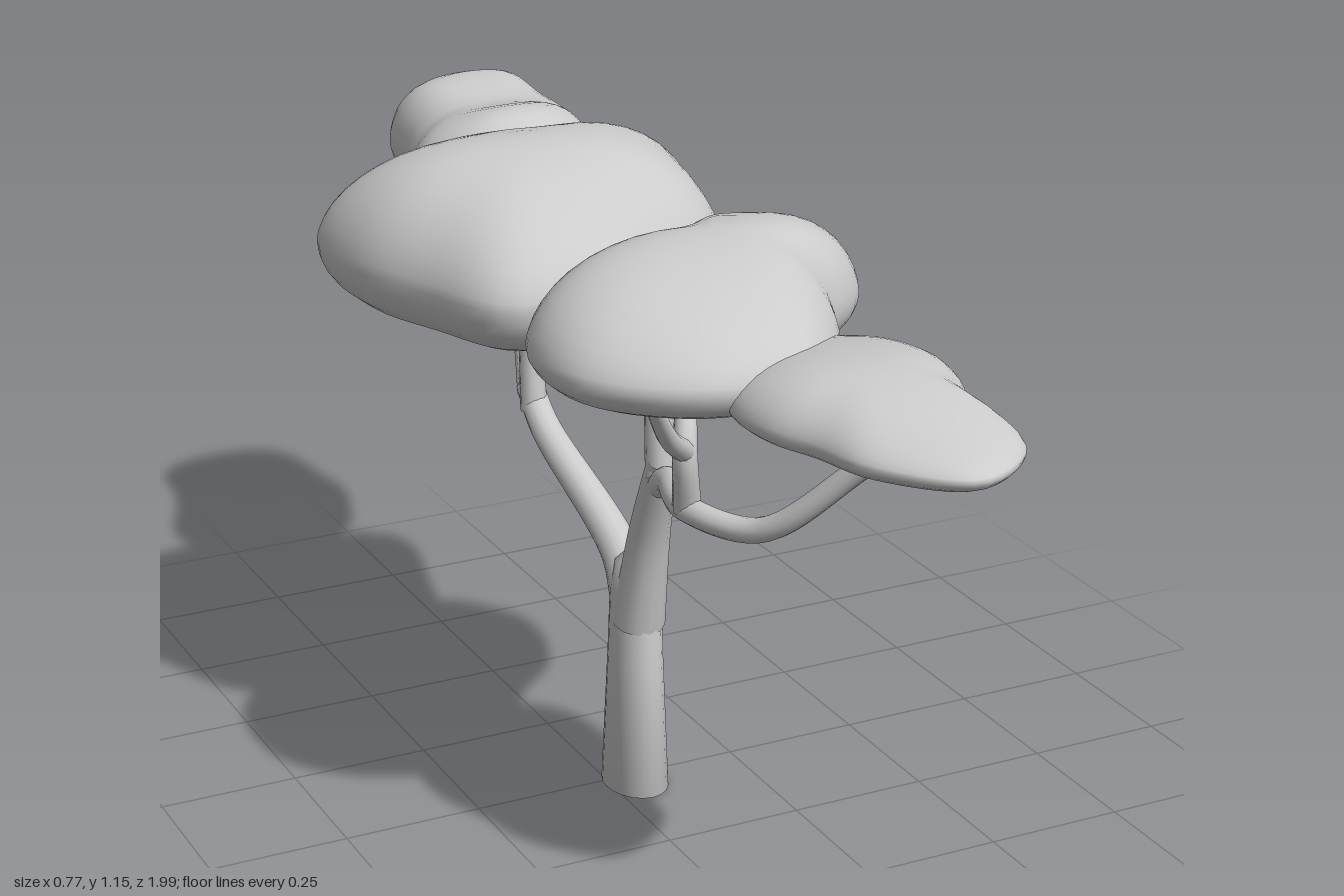
import * as THREE from 'three';
import { mergeVertices } from 'three/addons/utils/BufferGeometryUtils.js';

const { lerp, smoothstep } = THREE.MathUtils;
const material = new THREE.MeshStandardMaterial({ color: 0xcccccc });

// Tube through points [x, y, z] that narrows evenly from radius r0 to r1
function branch(name, r0, r1, ...points) {
  const curve = new THREE.CatmullRomCurve3(points.map(p => new THREE.Vector3(...p)));
  const steps = points.length * 7, sides = 12;
  const geo = new THREE.TubeGeometry(curve, steps, 1, sides, false);
  const pos = geo.attributes.position;
  const v = new THREE.Vector3();
  for (let n = 0; n < pos.count; n++) {
    const t = Math.floor(n / (sides + 1)) / steps;
    const center = curve.getPointAt(t);
    v.fromBufferAttribute(pos, n).sub(center).multiplyScalar(lerp(r0, r1, t)).add(center);
    pos.setXYZ(n, v.x, v.y, v.z);
  }
  const mesh = new THREE.Mesh(geo, material);
  mesh.name = name;
  return mesh;
}

// Cushion of leaves: rim radii at even angles (clockwise from the back), flat belly,
// and a domed crown whose height runs from back to middle to front
function canopy(name, cx, cz, [bottom, mid], [back, middle, front], radii) {
  const curve = new THREE.CatmullRomCurve3(radii.map((r, i) => {
    const a = i / radii.length * Math.PI * 2;
    return new THREE.Vector3(r * Math.sin(a), 0, -r * Math.cos(a));
  }), true, 'centripetal');
  const around = 64, rows = 24;
  const rim = curve.getSpacedPoints(around);
  const reach = Math.max(...rim.map(p => Math.abs(p.z)));
  const positions = [], index = [];
  for (let j = 0; j <= rows; j++) {
    const s = j % rows === 0 ? 0 : Math.sin(j / rows * Math.PI);
    for (let i = 0; i < around; i++) {
      const x = rim[i].x * s, z = rim[i].z * s;
      const top = lerp(middle, z < 0 ? back : front, smoothstep(Math.abs(z), 0, reach));
      const y = j < rows / 2
        ? lerp(mid, bottom, Math.sqrt(1 - s ** 6))
        : lerp(mid, top, (1 - s ** 3) ** 0.6);
      positions.push(cx + x, y, cz + z);
      if (j < rows) {
        const a = j * around + i, b = j * around + (i + 1) % around;
        index.push(a, a + around, b, b, a + around, b + around);
      }
    }
  }
  let geo = new THREE.BufferGeometry();
  geo.setAttribute('position', new THREE.Float32BufferAttribute(positions, 3));
  geo.setIndex(index);
  geo = mergeVertices(geo, 1e-5);
  geo.computeVertexNormals();
  const mesh = new THREE.Mesh(geo, material);
  mesh.name = name;
  return mesh;
}

// Trunk: a lathe, deeper than wide
function createTrunk() {
  const profile = [[0, 0], [0.056, 0], [0.046, 0.25], [0.042, 0.38], [0.034, 0.43], [0, 0.46]];
  const trunk = new THREE.Mesh(
    new THREE.LatheGeometry(profile.map(p => new THREE.Vector2(...p)), 20), material);
  trunk.name = 'trunk';
  trunk.scale.z = 1.32;
  trunk.position.set(0.045, 0, 0.023);
  return trunk;
}

export function createModel() {
  const tree = new THREE.Group();
  tree.name = 'flatToppedTree';
  tree.add(
    createTrunk(),

    // Front limb and its bough, fork and twigs
    branch('frontLimb', 0.047, 0.027, [0.045, 0.32, 0.035], [0.045, 0.5, 0.075], [0.04, 0.66, 0.135]),
    branch('frontRiser', 0.028, 0.019, [0.04, 0.63, 0.13], [0.04, 0.72, 0.12], [0.04, 0.92, 0.1]),
    branch('frontBough', 0.025, 0.019,
      [0.042, 0.61, 0.12], [0.02, 0.65, 0.2], [-0.02, 0.66, 0.34], [0.04, 0.67, 0.49], [0.15, 0.81, 0.62]),
    branch('frontTip', 0.018, 0.01, [0.14, 0.8, 0.61], [0.19, 0.86, 0.69], [0.23, 0.91, 0.78]),
    branch('frontTwig', 0.016, 0.011, [0.145, 0.8, 0.61], [0.08, 0.92, 0.65]),
    branch('frontFork', 0.024, 0.015,
      [-0.02, 0.66, 0.34], [-0.035, 0.77, 0.36], [-0.015, 0.84, 0.32], [-0.01, 0.92, 0.28]),
    branch('frontForkTwig', 0.019, 0.013, [-0.035, 0.77, 0.36], [-0.09, 0.82, 0.41], [-0.15, 0.91, 0.47]),

    // Back limb and its bough, fork and twigs
    branch('backLimb', 0.037, 0.025,
      [0.045, 0.34, 0.01], [0.04, 0.43, -0.03], [0.01, 0.58, -0.27], [0.02, 0.63, -0.36]),
    branch('backBough', 0.026, 0.016,
      [0.015, 0.62, -0.34], [0.07, 0.645, -0.48], [0.12, 0.64, -0.61], [0.125, 0.78, -0.75]),
    branch('backTip', 0.016, 0.009, [0.125, 0.77, -0.74], [0.14, 0.9, -0.91]),
    branch('backTwig', 0.016, 0.011, [0.125, 0.77, -0.74], [0.12, 0.9, -0.78]),
    branch('backFork', 0.025, 0.014,
      [0.01, 0.6, -0.32], [0.005, 0.76, -0.33], [-0.02, 0.83, -0.3], [-0.04, 0.9, -0.27]),
    branch('backForkTwig', 0.019, 0.013, [0.005, 0.75, -0.33], [0.05, 0.82, -0.365], [0.1, 0.9, -0.4]),

    // Four overlapping cushions of leaves
    canopy('backCanopy', 0.12, -0.72, [0.875, 0.95], [1.11, 1.06, 1.14],
      [0.27, 0.28, 0.2, 0.185, 0.185, 0.225, 0.26, 0.28, 0.255, 0.18, 0.175, 0.25]),
    canopy('upperCanopy', -0.05, -0.2, [0.855, 0.96], [1.09, 1.15, 1.1],
      [0.335, 0.32, 0.42, 0.335, 0.33, 0.3, 0.335, 0.375, 0.315, 0.33, 0.37, 0.345]),
    canopy('middleCanopy', 0.07, 0.25, [0.88, 0.95], [1.04, 1.1, 1.06],
      [0.17, 0.38, 0.36, 0.275, 0.2, 0.24, 0.33, 0.375, 0.385, 0.335, 0.25, 0.155]),
    canopy('frontCanopy', 0.12, 0.68, [0.89, 0.925], [0.98, 1.005, 0.97],
      [0.31, 0.28, 0.205, 0.165, 0.155, 0.265, 0.32, 0.24, 0.18, 0.19, 0.22, 0.26]),
  );
  return tree;
}
